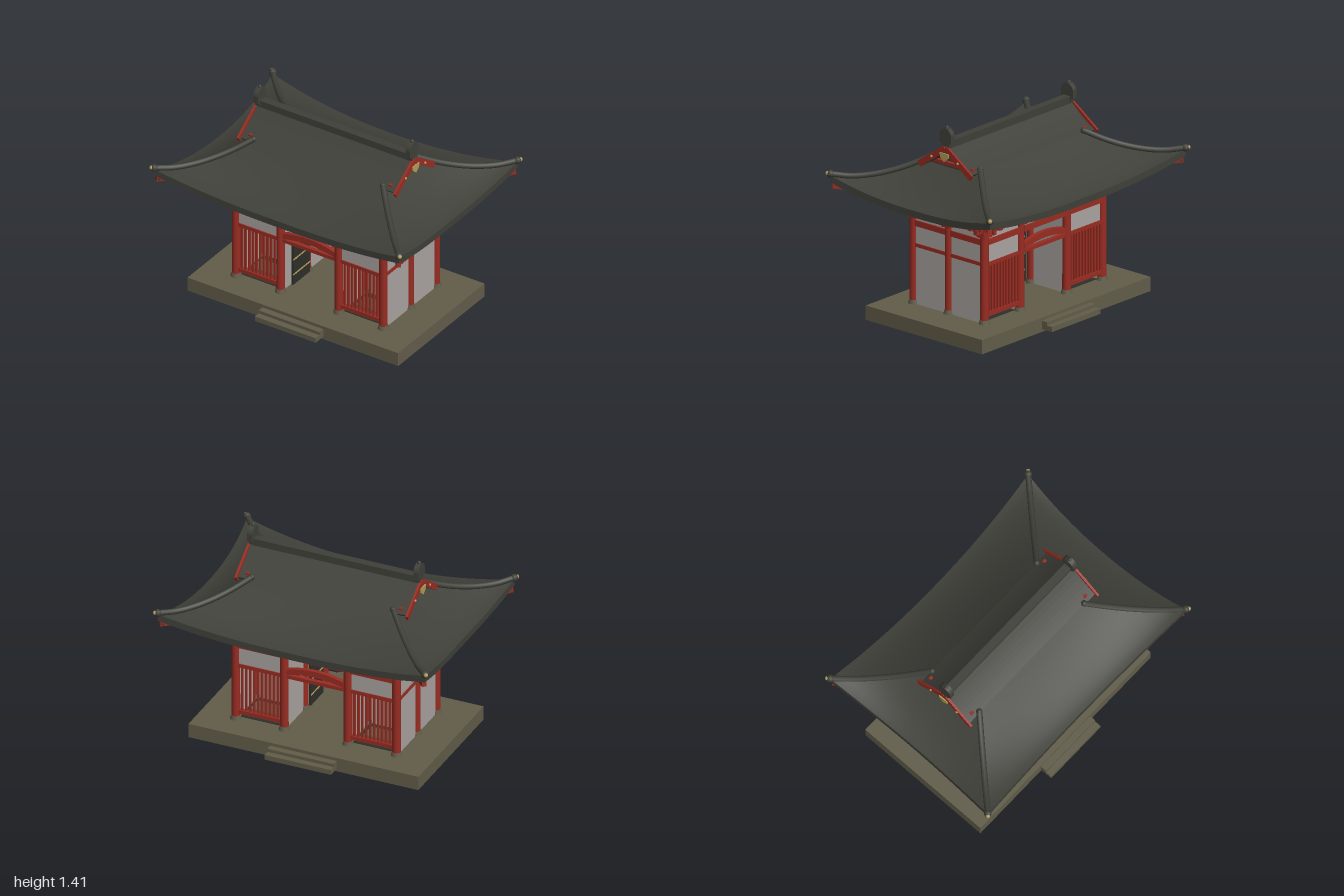
import * as THREE from 'three';
import { mergeGeometries } from 'three/addons/utils/BufferGeometryUtils.js';

const mat = (name, color, side = THREE.FrontSide) => {
  const m = new THREE.MeshStandardMaterial({ color, side });
  m.name = name;
  return m;
};
const lerp = THREE.MathUtils.lerp;
const V = (x, y, z) => new THREE.Vector3(x, y, z);

export function createModel() {
  const root = new THREE.Group();
  root.name = 'templeGate';
  const tile = mat('roofTile', 0x40403a, THREE.DoubleSide);
  const red = mat('redWood', 0x982c22);
  const deepRed = mat('deepRedSoffit', 0x561d17, THREE.DoubleSide);
  const plaster = mat('plaster', 0xaaa4a0);
  const stone = mat('stone', 0x625d4a, THREE.DoubleSide);
  const dark = mat('darkWood', 0x2e302b);
  const gold = mat('gold', 0xb29c58);

  // One mesh per part, merged from simple solids
  const part = (name, material, geos) => {
    const flat = geos.map(g => (g.index ? g.toNonIndexed() : g));
    const mesh = new THREE.Mesh(mergeGeometries(flat), material);
    mesh.name = name;
    root.add(mesh);
    return mesh;
  };
  // Box given by its extents
  const box = (x0, x1, y0, y1, z0, z1) =>
    new THREE.BoxGeometry(Math.abs(x1 - x0), y1 - y0, Math.abs(z1 - z0))
      .translate((x0 + x1) / 2, (y0 + y1) / 2, (z0 + z1) / 2);
  const cyl = (r0, r1, y0, y1, x, z, n = 16) =>
    new THREE.CylinderGeometry(r1, r0, y1 - y0, n).translate(x, (y0 + y1) / 2, z);
  const ball = (r, x, y, z) => new THREE.SphereGeometry(r, 12, 8).translate(x, y, z);
  // Square bar between two points
  const bar = (a, b, w, h) => {
    const o = new THREE.Object3D();
    o.position.copy(a).add(b).multiplyScalar(0.5);
    o.lookAt(b);
    o.updateMatrix();
    return new THREE.BoxGeometry(w, h, a.distanceTo(b)).applyMatrix4(o.matrix);
  };
  // Smooth sheet through f(u, v)
  const sheet = (f, nu, nv) => {
    const g = new THREE.PlaneGeometry(1, 1, nu, nv), p = g.attributes.position;
    for (let i = 0; i < p.count; i++) {
      const q = f(p.getX(i) * 2, 0.5 - p.getY(i));
      p.setXYZ(i, q.x, q.y, q.z);
    }
    g.computeVertexNormals();
    return g;
  };
  const both = [-1, 1];

  // Platform, open underneath, with steps front and back
  const top = new THREE.PlaneGeometry(1.66, 1.02).rotateX(-Math.PI / 2).translate(0, 0.1, 0);
  const sides = [0, 1, 2, 3].map(i => new THREE.PlaneGeometry(i % 2 ? 1.02 : 1.66, 0.1)
    .translate(0, 0.05, i % 2 ? 0.83 : 0.51).rotateY(i * Math.PI / 2));
  part('platform', stone, [top, ...sides]);
  part('steps', stone, both.flatMap(s => [
    box(-0.24, 0.24, 0.02, 0.055, s * 0.5, s * 0.6),
    box(-0.24, 0.24, 0.055, 0.078, s * 0.5, s * 0.555)]));
  part('roomFloors', dark, both.map(s => box(s * 0.25, s * 0.56, 0.09, 0.104, -0.28, 0.28)));
  part('roomPlinths', stone, both.flatMap(s => both.map(t =>
    box(s * 0.3, s * 0.52, 0.104, 0.14, t * 0.1, t * 0.22))));

  // Columns on round base stones
  const spots = [-0.58, -0.23, 0.23, 0.58].flatMap(x => [-0.31, 0, 0.31].map(z => [x, z]));
  part('columns', red, spots.map(([x, z]) => cyl(0.029, 0.028, 0.12, 0.72, x, z)));
  part('columnBases', stone, spots.map(([x, z]) => cyl(0.038, 0.032, 0.1, 0.128, x, z)));

  // Plaster walls
  const walls = [];
  for (const s of both) {
    walls.push(box(s * 0.572, s * 0.588, 0.1, 0.93, -0.31, 0.31));
    walls.push(box(s * 0.222, s * 0.238, 0.1, 0.7, -0.31, 0.31));
    walls.push(box(s * 0.23, s * 0.58, 0.1, 0.7, -0.006, 0.006));
    walls.push(box(-0.58, 0.58, 0.67, 0.93, s * 0.303, s * 0.317));
    for (const t of both) walls.push(box(t * 0.23, t * 0.58, 0.51, 0.67, s * 0.303, s * 0.317));
  }
  part('walls', plaster, walls);

  // Tie beams and window slats
  const beams = [], slats = [];
  for (const s of both) {
    beams.push(box(-0.58, 0.58, 0.645, 0.685, s * 0.292, s * 0.328));
    beams.push(box(-0.58, 0.58, 0.498, 0.523, s * 0.295, s * 0.325));
    beams.push(box(s * 0.562, s * 0.598, 0.645, 0.685, -0.31, 0.31));
    beams.push(box(s * 0.565, s * 0.595, 0.5, 0.524, -0.31, 0.31));
    beams.push(box(-0.59, 0.59, 0.84, 0.868, s * 0.295, s * 0.325));
    beams.push(box(s * 0.565, s * 0.595, 0.84, 0.868, -0.31, 0.31));
    for (const t of both) {
      beams.push(box(t * 0.23, t * 0.58, 0.147, 0.175, s * 0.295, s * 0.325));
      for (let i = 0; i < 10; i++) {
        const x = t * (0.276 + i * 0.0286);
        slats.push(box(x - 0.007, x + 0.007, 0.17, 0.5, s * 0.303, s * 0.317));
      }
    }
  }
  part('tieBeams', red, beams);
  part('windowSlats', red, slats);

  // Arched beams over the passage
  const arch = new THREE.Shape();
  arch.moveTo(-0.21, 0.522);
  arch.lineTo(-0.21, 0.562);
  arch.quadraticCurveTo(0, 0.628, 0.21, 0.562);
  arch.lineTo(0.21, 0.522);
  arch.quadraticCurveTo(0, 0.58, -0.21, 0.522);
  part('archedBeams', red, both.map(s =>
    new THREE.ExtrudeGeometry(arch, { depth: 0.03, bevelEnabled: false }).translate(0, 0, s * 0.31 - 0.015)));

  // Passage ceiling with joists
  part('passageCeiling', deepRed, [box(-0.23, 0.23, 0.655, 0.665, -0.3, 0.3)]);
  part('ceilingJoists', red, [-0.15, -0.09, -0.03, 0.03, 0.09, 0.15].map(x =>
    box(x - 0.007, x + 0.007, 0.635, 0.656, -0.3, 0.3)));

  // Open doors with gold bands and studs
  part('doors', dark, both.map(s => box(s * 0.19, s * 0.205, 0.115, 0.495, 0.02, 0.22)));
  part('doorBands', gold, both.flatMap(s => [0.19, 0.305, 0.42].flatMap(y => [
    box(s * 0.187, s * 0.191, y, y + 0.01, 0.02, 0.22),
    ...[0.05, 0.12, 0.19].map(z => ball(0.006, s * 0.188, y + 0.005, z))])));

  // Stepped brackets above the outer columns
  const brackets = [];
  const bracket = (x, z, dx, dz) => {
    const put = (o, a, w, l, y0, y1) => { // o outward, a along the wall
      const cx = x + dx * o + dz * a, cz = z + dz * o + dx * a;
      const hx = dx ? l / 2 : w / 2, hz = dx ? w / 2 : l / 2;
      brackets.push(box(cx - hx, cx + hx, y0, y1, cz - hz, cz + hz));
    };
    put(0, 0, 0.075, 0.075, 0.705, 0.74);
    for (let i = 0; i < 3; i++) {
      const y = 0.74 + i * 0.045, reach = 0.095 + i * 0.055;
      put(reach / 2, 0, 0.028, reach, y, y + 0.024);
      put(0, 0, 0.13, 0.036, y, y + 0.02);
      put(reach - 0.02, 0, 0.04, 0.04, y + 0.022, y + 0.045);
      put(reach - 0.02, 0, 0.11, 0.022, y + 0.03, y + 0.048);
      for (const a of [-0.048, 0, 0.048]) put(0.005, a, 0.03, 0.045, y + 0.02, y + 0.042);
    }
  };
  for (const s of both) {
    for (const x of [-0.58, -0.23, 0.23, 0.58]) bracket(x, s * 0.31, 0, s);
    for (const z of [-0.31, 0, 0.31]) bracket(s * 0.58, z, s, 0);
    for (const t of both) for (let i = 0; i < 3; i++) {
      const r = 0.09 + i * 0.055, y = 0.752 + i * 0.045;
      brackets.push(bar(V(s * 0.58, y, t * 0.31), V(s * (0.58 + r), y, t * (0.31 + r)), 0.028, 0.024));
    }
    brackets.push(box(-0.79, 0.79, 0.862, 0.885, s * 0.49, s * 0.512));
    brackets.push(box(s * 0.76, s * 0.782, 0.862, 0.885, -0.52, 0.52));
  }
  part('brackets', red, brackets);

  // Lower roof: four swept sides with lifted corners
  const long = { ai: 0.51, ao: 0.965, bi: 0.21, bo: 0.7, sag: 0.047 };
  const short = { ai: 0.21, ao: 0.7, bi: 0.51, bo: 0.965, sag: 0.047 };
  const roofSides = [
    { ...long, at: (a, y, o) => V(a, y, o) }, { ...long, at: (a, y, o) => V(-a, y, -o) },
    { ...short, at: (a, y, o) => V(o, y, -a) }, { ...short, at: (a, y, o) => V(-o, y, a) }];
  const lift = (u, v) => 0.095 * Math.abs(u) ** 2.3 * v * v;
  const roofPoint = (s, u, v, drop = 0) => s.at(
    u * lerp(s.ai, s.ao, v), 0.9 + 0.22 * (1 - v) ** 1.5 + lift(u, v) - drop,
    lerp(s.bi, s.bo, v) - s.sag * (1 - u * u) * v);
  part('lowerRoof', tile, roofSides.map(s => sheet((u, v) => roofPoint(s, u, v), 32, 14)));
  part('roofEdge', tile, roofSides.map(s => sheet((u, v) => roofPoint(s, u, 1, v * 0.047), 32, 1)));
  part('soffit', deepRed, roofSides.map(s => sheet((u, v) => roofPoint(s, u, v, 0.047), 32, 14)));

  // Two tiers of rafters under the eaves
  const rafters = [];
  for (const s of roofSides) {
    const tiers = [[0.4, 0.925, 0.16, 0.857], [0.22, 0.877, 0.08, 0.852]];
    for (let a = -s.ao + 0.06; a < s.ao - 0.05; a += 0.042) for (const [i0, y0, i1, y1] of tiers) {
      const hip = lerp(s.bi, s.bo, (Math.abs(a) - s.ai) / (s.ao - s.ai));
      const end = s.bo - i1, start = Math.max(s.bo - i0, hip);
      if (start > end - 0.02) continue;
      const p = o => s.at(a, lerp(y0, y1, (o - s.bo + i0) / (i0 - i1)) +
        lift(a / s.ao, (o - s.bi) / (s.bo - s.bi)), o);
      rafters.push(bar(p(start), p(end), 0.017, 0.02));
    }
  }
  part('rafters', red, rafters);

  // Hip ridges, hip rafters, corner finials and bells
  const hips = [], hipRafters = [], finials = [], caps = [], bells = [];
  for (const s of roofSides.slice(0, 2)) for (const u of both) {
    const pts = [0, 0.2, 0.4, 0.6, 0.8, 1].map(v => roofPoint(s, u, v, -0.012));
    hips.push(new THREE.TubeGeometry(new THREE.CatmullRomCurve3(pts), 20, 0.02, 8));
    hips.push(ball(0.021, ...pts[0].toArray()));
    for (let i = 1; i < 5; i++)
      hipRafters.push(bar(roofPoint(s, u, 0.2 * i, 0.065), roofPoint(s, u, 0.2 * i + 0.18, 0.065), 0.03, 0.036));
    const c = pts[5];
    finials.push(ball(0.026, c.x, c.y, c.z));
    caps.push(ball(0.015, c.x + Math.sign(c.x) * 0.013, c.y + 0.004, c.z + Math.sign(c.z) * 0.013));
    bells.push(cyl(0.014, 0.007, c.y - 0.092, c.y - 0.066, c.x * 0.975, c.z * 0.975, 10));
    bells.push(cyl(0.003, 0.003, c.y - 0.07, c.y - 0.03, c.x * 0.975, c.z * 0.975, 6));
  }
  part('hipRidges', tile, hips);
  part('hipRafters', red, hipRafters);
  part('cornerFinials', tile, finials);
  part('cornerCaps', gold, caps);
  part('windBells', dark, bells);

  // Upper gabled roof
  const gable = new THREE.Shape();
  gable.moveTo(-0.215, 1.112);
  gable.quadraticCurveTo(-0.11, 1.17, 0, 1.275);
  gable.quadraticCurveTo(0.11, 1.17, 0.215, 1.112);
  gable.lineTo(0.2, 1.095);
  gable.quadraticCurveTo(0.1, 1.15, 0, 1.245);
  gable.quadraticCurveTo(-0.1, 1.15, -0.2, 1.095);
  part('upperRoof', tile, [new THREE.ExtrudeGeometry(gable, { depth: 1.22, bevelEnabled: false, curveSegments: 8 })
    .translate(0, 0, -0.61).rotateY(Math.PI / 2)]);
  const infill = new THREE.Shape([[-0.2, 1.09], [0.2, 1.09], [0, 1.25]].map(p => new THREE.Vector2(...p)));
  part('gableInfill', tile, both.map(s => new THREE.ExtrudeGeometry(infill, { depth: 0.02, bevelEnabled: false })
    .rotateY(Math.PI / 2).translate(s * 0.53 - 0.01, 0, 0)));

  // Gable boards, beam and gold fittings
  part('gableBoards', red, both.flatMap(s => [
    ...both.map(t => bar(V(s * 0.617, 1.258, 0), V(s * 0.617, 1.1, t * 0.228), 0.016, 0.042)),
    box(s * 0.54, s * 0.565, 1.118, 1.14, -0.19, 0.19)]));
  const pendant = new THREE.Shape([[-0.038, 1.225], [-0.035, 1.195], [0, 1.165], [0.035, 1.195], [0.038, 1.225]]
    .map(p => new THREE.Vector2(...p)));
  part('gablePendants', gold, both.flatMap(s => [
    new THREE.ExtrudeGeometry(pendant, { depth: 0.009, bevelEnabled: false })
      .rotateY(Math.PI / 2).translate(s * 0.628 - 0.0045, 0, 0),
    ...both.map(t => ball(0.01, s * 0.624, 1.178, t * 0.115))]));

  // Main ridge with shield-shaped end ornaments
  part('mainRidge', tile, [box(-0.6, 0.6, 1.24, 1.295, -0.022, 0.022), box(-0.6, 0.6, 1.293, 1.308, -0.028, 0.028)]);
  const shield = new THREE.Shape();
  shield.moveTo(-0.03, 1.265);
  shield.lineTo(-0.032, 1.29);
  shield.lineTo(-0.052, 1.295);
  shield.lineTo(-0.052, 1.345);
  shield.quadraticCurveTo(-0.045, 1.385, 0, 1.398);
  shield.quadraticCurveTo(0.045, 1.385, 0.052, 1.345);
  shield.lineTo(0.052, 1.295);
  shield.lineTo(0.032, 1.29);
  shield.lineTo(0.03, 1.265);
  part('ridgeOrnaments', tile, both.flatMap(s => [
    new THREE.ExtrudeGeometry(shield, { depth: 0.036, bevelEnabled: false })
      .rotateY(Math.PI / 2).translate(s * 0.6 - 0.018, 0, 0),
    ball(0.013, s * 0.6, 1.399, 0)]));
  return root;
}
